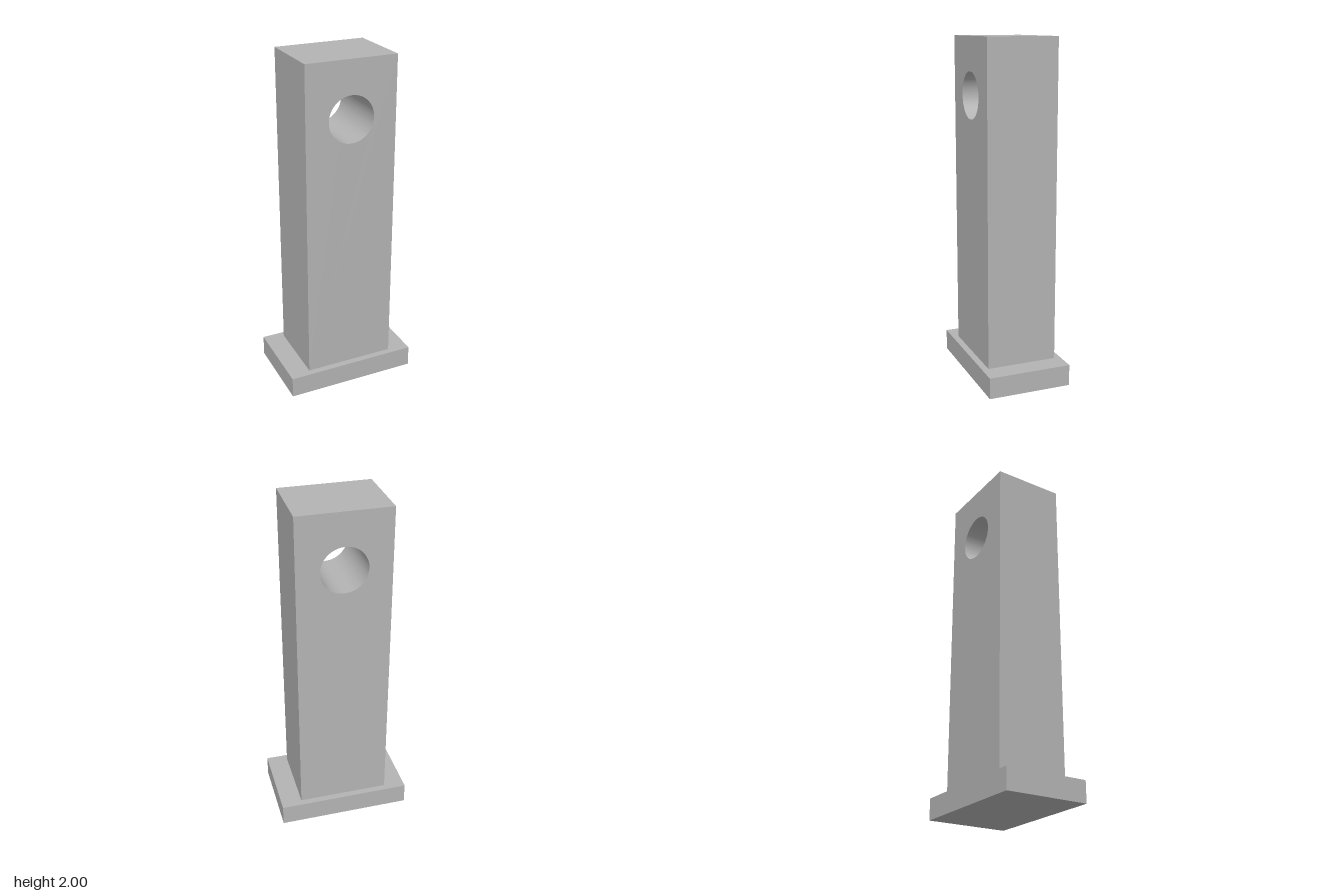
import * as THREE from 'three';
import { toCreasedNormals } from 'three/addons/utils/BufferGeometryUtils.js';

const BASE = { width: 0.79, height: 0.125, depth: 0.496 };
const POST = { width: 0.54, top: 2, depth: 0.418 };
const HOLE = { y: 1.67, radius: 0.135 };

export function createModel() {
  const model = new THREE.Group();
  model.name = 'postOnBase';
  const grey = new THREE.MeshStandardMaterial({ color: 0xb3b3b3 });
  grey.name = 'grey';

  // Flat rectangular foot
  const base = new THREE.Mesh(new THREE.BoxGeometry(BASE.width, BASE.height, BASE.depth), grey);
  base.name = 'base';
  base.position.y = BASE.height / 2;
  model.add(base);

  // Upright post with a round hole running front to back
  const w = POST.width / 2;
  const outline = new THREE.Shape([
    new THREE.Vector2(-w, BASE.height),
    new THREE.Vector2(w, BASE.height),
    new THREE.Vector2(w, POST.top),
    new THREE.Vector2(-w, POST.top),
  ]);
  outline.holes.push(new THREE.Path().absarc(0, HOLE.y, HOLE.radius, 0, Math.PI * 2, true));
  const geometry = new THREE.ExtrudeGeometry(outline, {
    depth: POST.depth,
    bevelEnabled: false,
    curveSegments: 64,
  });
  geometry.translate(0, 0, -POST.depth / 2);
  const post = new THREE.Mesh(toCreasedNormals(geometry, Math.PI / 6), grey);
  post.name = 'post';
  model.add(post);

  return model;
}
